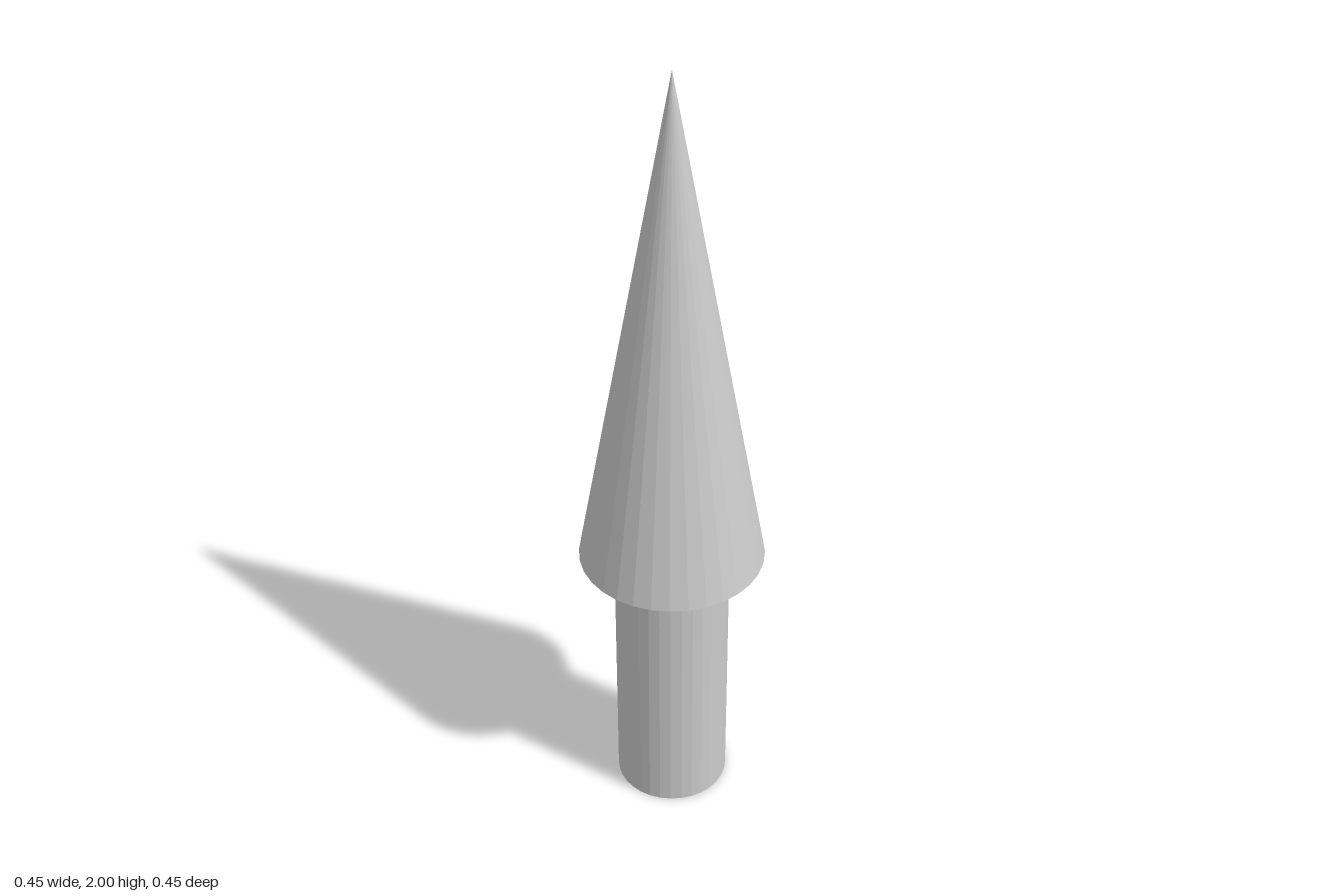
import * as THREE from 'three';

const SIDES = 32;
const SHAFT_RADIUS = 0.141;
const HEAD_RADIUS = 0.227;
const SHAFT_HEIGHT = 0.72;
const TOTAL_HEIGHT = 2;

export function createModel() {
  const group = new THREE.Group();
  group.name = 'spike';
  const material = new THREE.MeshStandardMaterial({ color: 0xcccccc, flatShading: true });

  // Adds a faceted part standing on the given height
  const addPart = (name, geometry, height, bottom) => {
    const mesh = new THREE.Mesh(geometry, material);
    mesh.name = name;
    mesh.position.y = bottom + height / 2;
    group.add(mesh);
  };

  // Round shaft
  addPart('shaft', new THREE.CylinderGeometry(SHAFT_RADIUS, SHAFT_RADIUS, SHAFT_HEIGHT, SIDES), SHAFT_HEIGHT, 0);

  // Pointed head with a flat underside
  const headHeight = TOTAL_HEIGHT - SHAFT_HEIGHT;
  addPart('head', new THREE.ConeGeometry(HEAD_RADIUS, headHeight, SIDES), headHeight, SHAFT_HEIGHT);

  return group;
}
